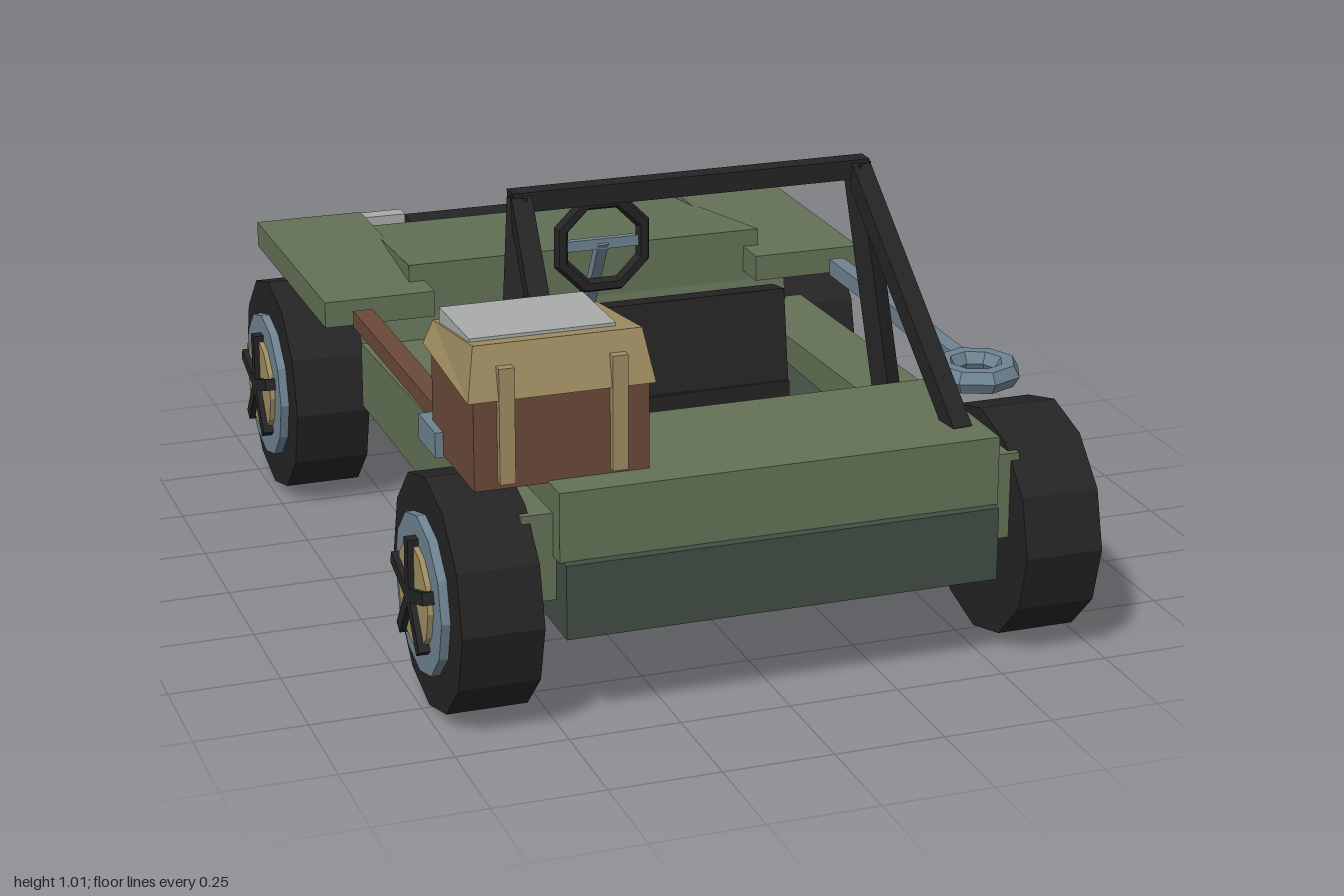
import * as THREE from 'three';

const mat = (name, color) => {
  const m = new THREE.MeshStandardMaterial({ color });
  m.name = name;
  return m;
};

export function createModel() {
  const green = mat('olive green', 0x647257);
  const darkGreen = mat('dark green', 0x414d43);
  const black = mat('black', 0x242424);
  const steel = mat('blue grey steel', 0x6f8391);
  const brown = mat('brown', 0x6b4a38);
  const tan = mat('tan', 0x9f8d63);
  const grey = mat('light grey', 0xa8aca9);

  const model = new THREE.Group();
  model.name = 'buggy';

  // Adds a mesh with faceted normals
  const add = (name, geometry, material, parent = model) => {
    const g = geometry.index ? geometry.toNonIndexed() : geometry;
    g.computeVertexNormals();
    const mesh = new THREE.Mesh(g, material);
    mesh.name = name;
    parent.add(mesh);
    return mesh;
  };
  // Box given by its limits on each axis
  const box = (name, m, x0, x1, y0, y1, z0, z1, parent) =>
    add(name, new THREE.BoxGeometry(x1 - x0, y1 - y0, z1 - z0)
      .translate((x0 + x1) / 2, (y0 + y1) / 2, (z0 + z1) / 2), m, parent);
  // Side profile of [z, y] points, extruded from x0 to x1
  const prism = (profile, x0, x1) => {
    const shape = new THREE.Shape(profile.map(([z, y]) => new THREE.Vector2(z, y)));
    return new THREE.ExtrudeGeometry(shape, { depth: x1 - x0, bevelEnabled: false })
      .rotateY(-Math.PI / 2).translate(x1, 0, 0);
  };
  // Square bar between two points
  const bar = (name, m, a, b, size, parent) => {
    const p = new THREE.Vector3(...a), q = new THREE.Vector3(...b);
    const mesh = add(name, new THREE.BoxGeometry(size, size, p.distanceTo(q)), m, parent);
    mesh.position.copy(p).add(q).multiplyScalar(0.5);
    mesh.lookAt(q);
    return mesh;
  };
  // Moves the x of each vertex by a rule
  const reshapeX = (g, rule) => {
    const p = g.attributes.position;
    for (let i = 0; i < p.count; i++) p.setX(i, rule(p.getX(i), p.getY(i), p.getZ(i)));
    return g;
  };

  // Body
  box('chassis', darkGreen, -0.493, 0.493, 0.213, 0.38, -0.9, 0.968);
  box('rearDeck', green, -0.5, 0.5, 0.378, 0.535, 0.55, 0.945);
  const railProfile = [[0.9, 0.278], [0.9, 0.475], [-0.38, 0.437], [-0.38, 0.278]];
  const noseProfile = [[-0.345, 0.36], [-0.38, 0.55], [-0.905, 0.55], [-0.943, 0.36]];
  add('nose', prism(noseProfile, -0.52, 0.52), green);
  const hoodProfile = [[-0.37, 0.38], [-0.37, 0.625], [-0.905, 0.563], [-0.905, 0.38]];
  add('hood', reshapeX(prism(hoodProfile, -0.45, 0.45),
    (x, y, z) => x * (z < -0.6 ? 0.91 : 1)), green);
  for (const s of [-1, 1]) {
    add('sideRail', prism(railProfile, s * 0.49 - 0.08, s * 0.49 + 0.08), green);
    const fender = box('fender', green, -0.135, 0.135, 0.52, 0.583, -0.968, -0.283);
    fender.position.x = s * 0.546;
    const lamp = box('headlight', grey, -0.09, 0.09, 0.505, 0.575, -0.985, -0.94);
    lamp.position.x = s * 0.39;
  }

  // Grille
  box('grille', black, -0.29, 0.29, 0.4, 0.56, -0.985, -0.91);
  for (let i = -2; i <= 2; i++)
    box('grilleSlat', steel, i * 0.1 - 0.014, i * 0.1 + 0.014, 0.417, 0.545, -1, -0.98);

  // Wheels
  for (const s of [-1, 1]) for (const z of [0.738, -0.656]) {
    const wheel = new THREE.Group();
    wheel.name = 'wheel';
    const disc = (name, m, r, x0, x1) => add(name, new THREE.CylinderGeometry(r, r, x1 - x0, 12)
      .rotateZ(-Math.PI / 2).translate((x0 + x1) / 2, 0, 0), m, wheel);
    disc('tyre', black, 0.262, -0.09, 0.09);
    disc('rim', steel, 0.178, 0.05, 0.11);
    disc('hub', tan, 0.118, 0.1, 0.122);
    for (let i = 0; i < 5; i++) {
      const spoke = box('spoke', black, 0.11, 0.135, 0, 0.13, -0.014, 0.014, wheel);
      spoke.rotation.x = i * Math.PI * 2 / 5;
    }
    wheel.position.set(s * 0.64, 0.262, z);
    if (s < 0) wheel.scale.x = -1;
    model.add(wheel);
  }

  // Seat
  box('seatBase', black, -0.215, 0.215, 0.38, 0.525, -0.048, 0.435);
  const back = new THREE.Group();
  back.name = 'seatBack';
  box('backrest', black, -0.215, 0.215, 0, 0.23, -0.035, 0.035, back);
  box('backCushion', darkGreen, -0.165, 0.165, 0.04, 0.2, -0.043, -0.03, back);
  back.position.set(0, 0.5, 0.395);
  back.rotation.x = -0.16;
  model.add(back);

  // Steering wheel and column
  add('steeringWheel', new THREE.TorusGeometry(0.112, 0.019, 6, 8)
    .rotateZ(Math.PI / 8).translate(0, 0.67, -0.252), black);
  bar('steeringColumn', steel, [0, 0.675, -0.25], [0, 0.46, -0.37], 0.026);
  box('steeringSpoke', steel, -0.1, 0.1, 0.657, 0.683, -0.262, -0.244);

  // Roll bar
  box('rollBarTop', black, -0.42, 0.42, 0.97, 1.015, 0.342, 0.387);
  for (const s of [-1, 1]) {
    bar('rollBarPost', black, [s * 0.398, 1, 0.365], [s * 0.455, 0.42, 0.455], 0.046);
    bar('rollBarBrace', black, [s * 0.398, 0.995, 0.365], [s * 0.447, 0.52, 0.85], 0.046);
  }

  // Backpack on the rear deck
  const pack = new THREE.Group();
  pack.name = 'backpack';
  box('packBody', brown, -0.66, -0.275, 0.53, 0.77, 0.56, 0.868, pack);
  const flapProfile = [[0.882, 0.73], [0.852, 0.845], [0.558, 0.808], [0.548, 0.755]];
  add('packFlap', reshapeX(prism(flapProfile, -0.675, -0.265),
    (x, y) => -0.47 + (x + 0.47) * (y > 0.78 ? 0.9 : 1)), tan, pack);
  box('packRoll', grey, -0.65, -0.33, 0.8, 0.847, 0.592, 0.812, pack);
  for (const x of [-0.592, -0.345])
    box('packStrap', tan, x - 0.017, x + 0.017, 0.545, 0.8, 0.86, 0.885, pack);
  model.add(pack);

  // Shovel along one side
  box('shovelHandle', brown, -0.625, -0.578, 0.532, 0.572, -0.235, 0.53);
  box('shovelHead', steel, -0.678, -0.535, 0.525, 0.582, 0.51, 0.64);

  // Ringed tow rod along the other side
  box('towRod', steel, 0.583, 0.62, 0.535, 0.575, -0.225, 0.51);
  add('towRing', new THREE.TorusGeometry(0.076, 0.029, 6, 8)
    .rotateX(Math.PI / 2).translate(0.605, 0.555, 0.588), steel);

  return model;
}
